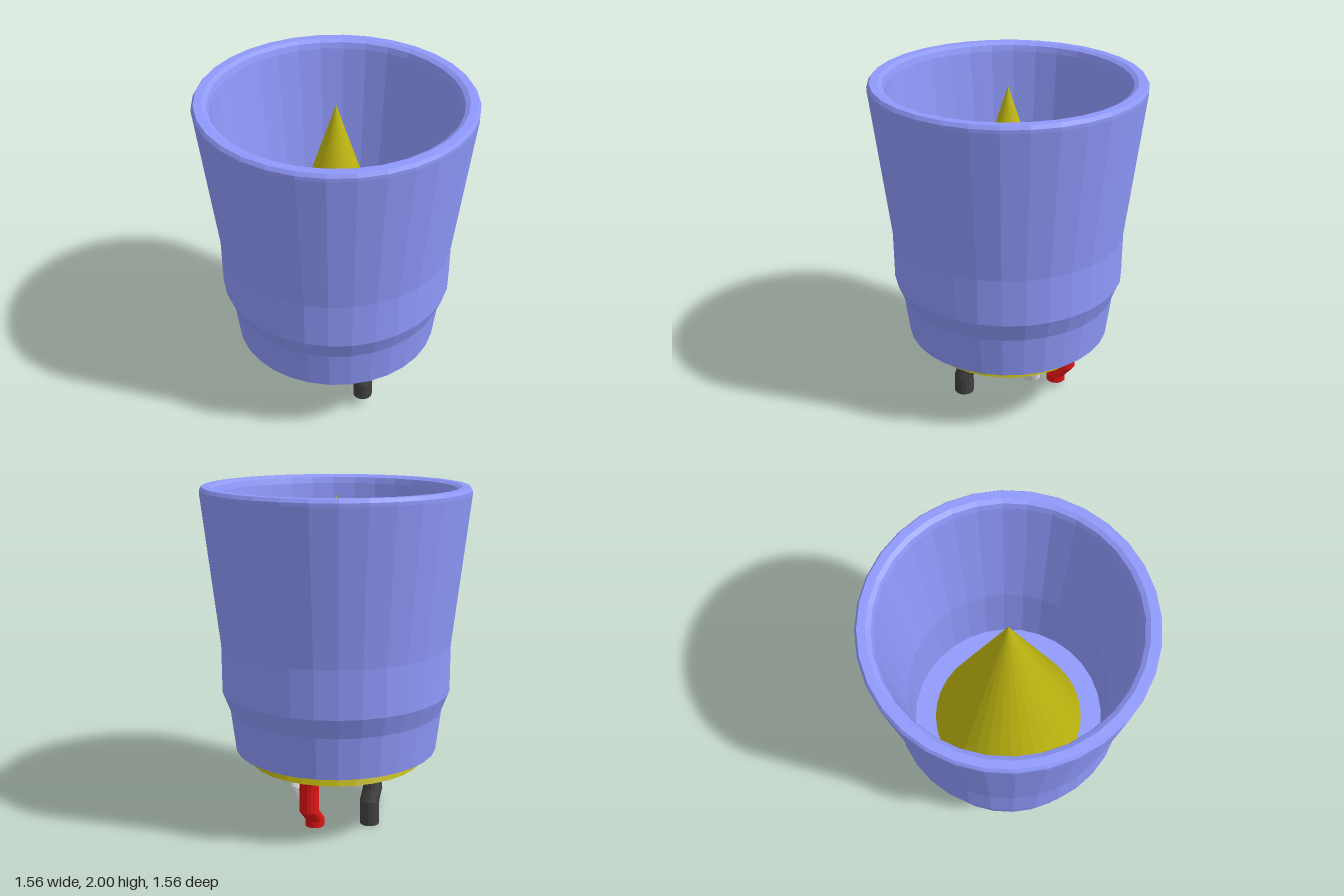
import * as THREE from 'three';

const mat = (color) => new THREE.MeshStandardMaterial({ color, flatShading: true });

function add(group, name, geometry, material) {
  const mesh = new THREE.Mesh(geometry, material);
  mesh.name = name;
  group.add(mesh);
  return mesh;
}

// Wire: a cylinder whose level rings are shifted onto the path points (top to bottom)
function wireGeometry(path, radius = 0.058, sides = 16) {
  const geo = new THREE.CylinderGeometry(radius, radius, 1, sides, path.length - 1);
  const pos = geo.attributes.position;
  for (let i = 0; i < pos.count; i++) {
    const [x, y, z] = path[Math.round((0.5 - pos.getY(i)) * (path.length - 1))];
    pos.setXYZ(i, pos.getX(i) + x, y, pos.getZ(i) + z);
  }
  geo.computeVertexNormals();
  return geo;
}

export function createModel() {
  const group = new THREE.Group();

  // Cup: outer wall, rounded rim, inner wall and floor
  const profile = [
    [0, 0.44], [0.605, 0.44], [0.635, 0.69], [0.68, 0.81], [0.68, 1.09],
    [0.778, 1.96], [0.778, 1.98], [0.765, 2], [0.72, 2], [0.695, 1.985], [0.685, 1.95],
    [0.59, 1.09], [0.59, 0.56], [0, 0.56],
  ].map(([r, y]) => new THREE.Vector2(r, y));
  add(group, 'cup', new THREE.LatheGeometry(profile, 32), mat(0x8f99fb));

  // Cone standing through the floor of the cup
  const cone = add(group, 'cone', new THREE.ConeGeometry(0.525, 1.58, 32), mat(0xbdb510));
  cone.position.y = 0.37 + 0.79;

  // Cut wires hanging from the underside of the cone
  const grey = mat(0x404040), red = mat(0xdd1414), white = mat(0xe8e4e6);
  const wires = [
    ['rightGreyWire', grey, [[-0.25, 0.4, 0], [-0.255, 0.29, -0.005], [-0.27, 0.22, -0.01], [-0.27, 0.15, -0.045], [-0.27, 0, -0.045]]],
    ['backRedWire', red, [[-0.06, 0.4, -0.36], [-0.045, 0.28, -0.36], [-0.045, 0.14, -0.36], [-0.045, 0.07, -0.3], [-0.045, 0.03, -0.3]]],
    ['shortRedWire', red, [[-0.01, 0.4, 0.08], [0.005, 0.28, 0.1], [0.005, 0.215, 0.1]]],
    ['whiteWire', white, [[0.178, 0.4, -0.113], [0.172, 0.3, -0.12], [0.15, 0.2, -0.175], [0.115, 0.13, -0.175]]],
    ['leftGreyWire', grey, [[0.265, 0.4, 0.19], [0.268, 0.28, 0.18], [0.285, 0.19, 0.205], [0.285, 0.08, 0.205]]],
  ];
  for (const [name, material, path] of wires) add(group, name, wireGeometry(path), material);

  return group;
}
